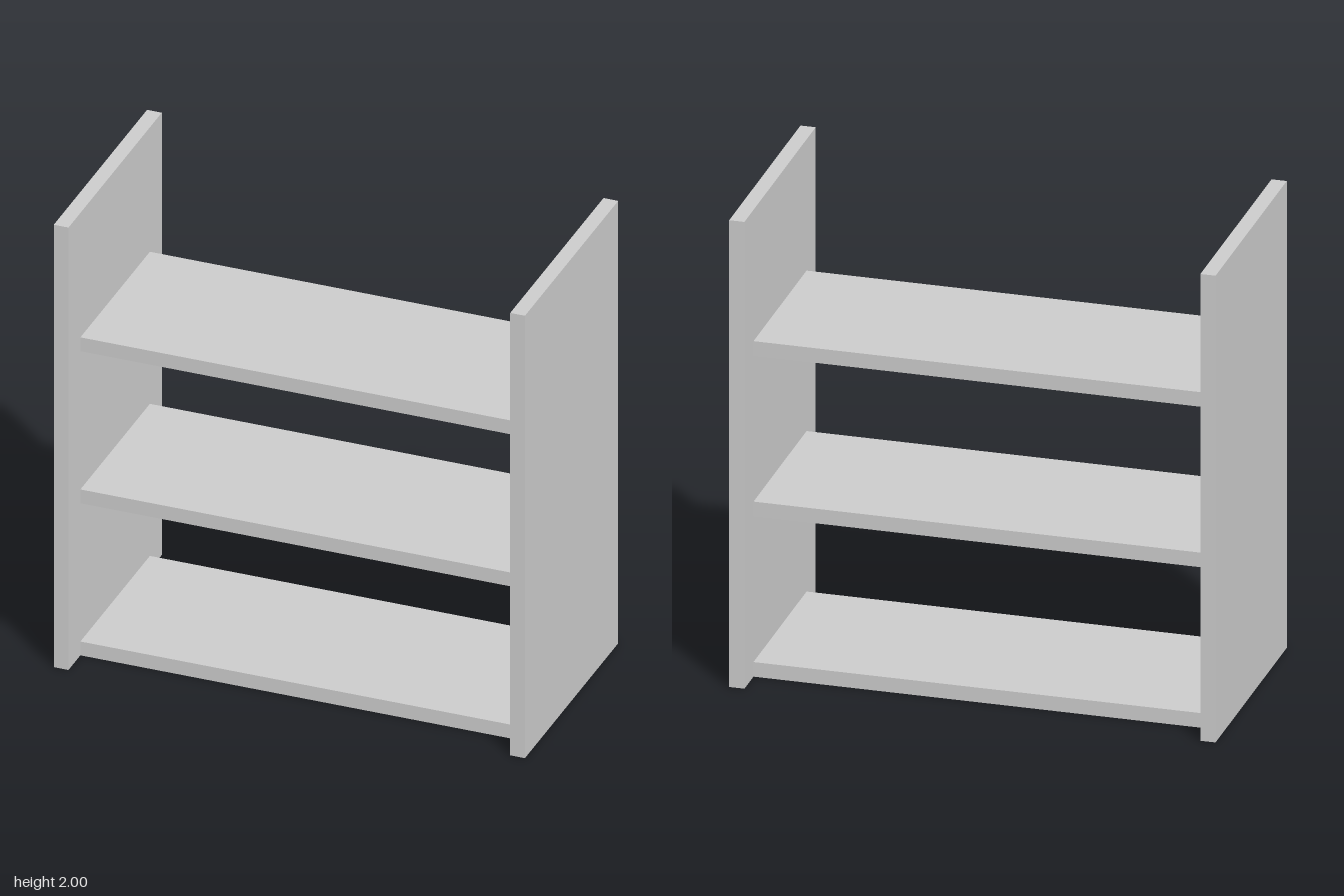
import * as THREE from 'three';

const HEIGHT = 2, WIDTH = 2, DEPTH = 1;
const BOARD = 0.0625; // board thickness
const SHELF_DEPTH = 0.745;
const SHELF_SPACING = 0.6875;

export function createModel() {
  const group = new THREE.Group();
  group.name = 'shelfUnit';
  const material = new THREE.MeshStandardMaterial({ color: 0xcccccc, flatShading: true });

  const addBoard = (name, size, position) => {
    const mesh = new THREE.Mesh(new THREE.BoxGeometry(...size), material);
    mesh.name = name;
    mesh.position.set(...position);
    group.add(mesh);
  };

  // Upright side panels
  for (const [name, side] of [['leftPanel', 1], ['rightPanel', -1]]) {
    addBoard(name, [BOARD, HEIGHT, DEPTH], [side * (WIDTH - BOARD) / 2, HEIGHT / 2, 0]);
  }

  // Evenly spaced shelves, set back from the panel edges
  ['bottomShelf', 'middleShelf', 'topShelf'].forEach((name, i) => {
    addBoard(name, [WIDTH - 2 * BOARD, BOARD, SHELF_DEPTH], [0, BOARD / 2 + i * SHELF_SPACING, 0]);
  });

  return group;
}
